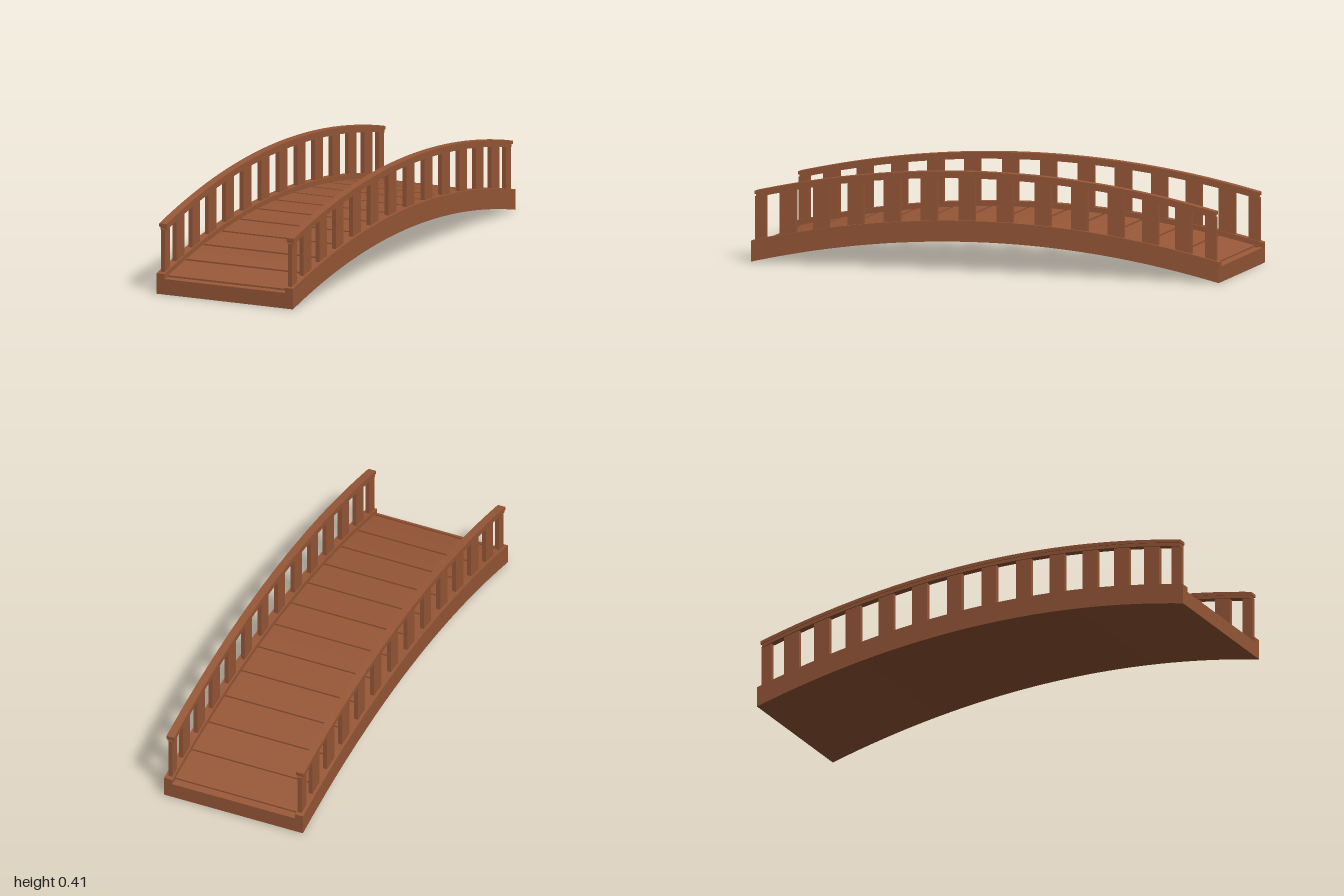
import * as THREE from 'three';

// Height of the bridge underside along its length
const arch = z => 0.123 * (1 - z * z);

// Solid slab following the arch: z0..z1 long, lo..hi above the arch, x0..x1 wide
function archBand(z0, z1, lo, hi, x0, x1, steps) {
  const s = new THREE.Shape();
  for (let i = 0; i <= steps; i++) {
    const z = z0 + (z1 - z0) * i / steps;
    if (i === 0) s.moveTo(z, arch(z) + lo);
    else s.lineTo(z, arch(z) + lo);
  }
  for (let i = steps; i >= 0; i--) {
    const z = z0 + (z1 - z0) * i / steps;
    s.lineTo(z, arch(z) + hi);
  }
  const g = new THREE.ExtrudeGeometry(s, { depth: x1 - x0, bevelEnabled: false });
  g.rotateY(-Math.PI / 2);
  g.translate(x1, 0, 0);
  return g;
}

export function createModel() {
  const bridge = new THREE.Group();
  bridge.name = 'archedBridge';
  const wood = new THREE.MeshStandardMaterial({ color: 0x985838 });
  wood.name = 'brown wood';

  const add = (name, geometry, parent = bridge) => {
    const m = new THREE.Mesh(geometry, wood);
    m.name = name;
    parent.add(m);
  };

  // Curved base under the planks
  add('base', archBand(-1, 1, 0, 0.058, -0.276, 0.276, 48));

  // Low end sills and the planks, separated by narrow grooves
  const pitch = 0.162, groove = 0.007;
  for (let i = -6; i < 6; i++) {
    add('plank', archBand(i * pitch + groove, (i + 1) * pitch - groove, 0.05, 0.065, -0.276, 0.276, 4));
  }
  for (const s of [-1, 1]) {
    const a = s * 0.985, b = s;
    add('endSill', archBand(Math.min(a, b), Math.max(a, b), 0.05, 0.065, -0.276, 0.276, 1));
  }

  // Post centres on one half of a railing, with the end post narrower
  const postCentres = [0.081, 0.243, 0.401, 0.556, 0.703, 0.845, 0.962];

  for (const side of [-1, 1]) {
    const railing = new THREE.Group();
    railing.name = side > 0 ? 'leftRailing' : 'rightRailing';
    bridge.add(railing);
    const band = (name, z0, z1, lo, hi, inner, outer, steps) =>
      add(name, archBand(z0, z1, lo, hi, side > 0 ? inner : -outer, side > 0 ? outer : -inner, steps), railing);

    band('curb', -1, 1, 0, 0.086, 0.275, 0.311, 48);
    band('railBeam', -0.98, 0.98, 0.26, 0.276, 0.275, 0.304, 48);
    band('handrail', -0.985, 0.985, 0.274, 0.288, 0.273, 0.307, 48);
    for (const end of [-1, 1]) {
      postCentres.forEach((c, i) => {
        const half = i === 6 ? 0.023 : 0.035;
        band('post', end * c - half, end * c + half, 0.08, 0.265, 0.281, 0.299, 2);
      });
    }
  }
  return bridge;
}
